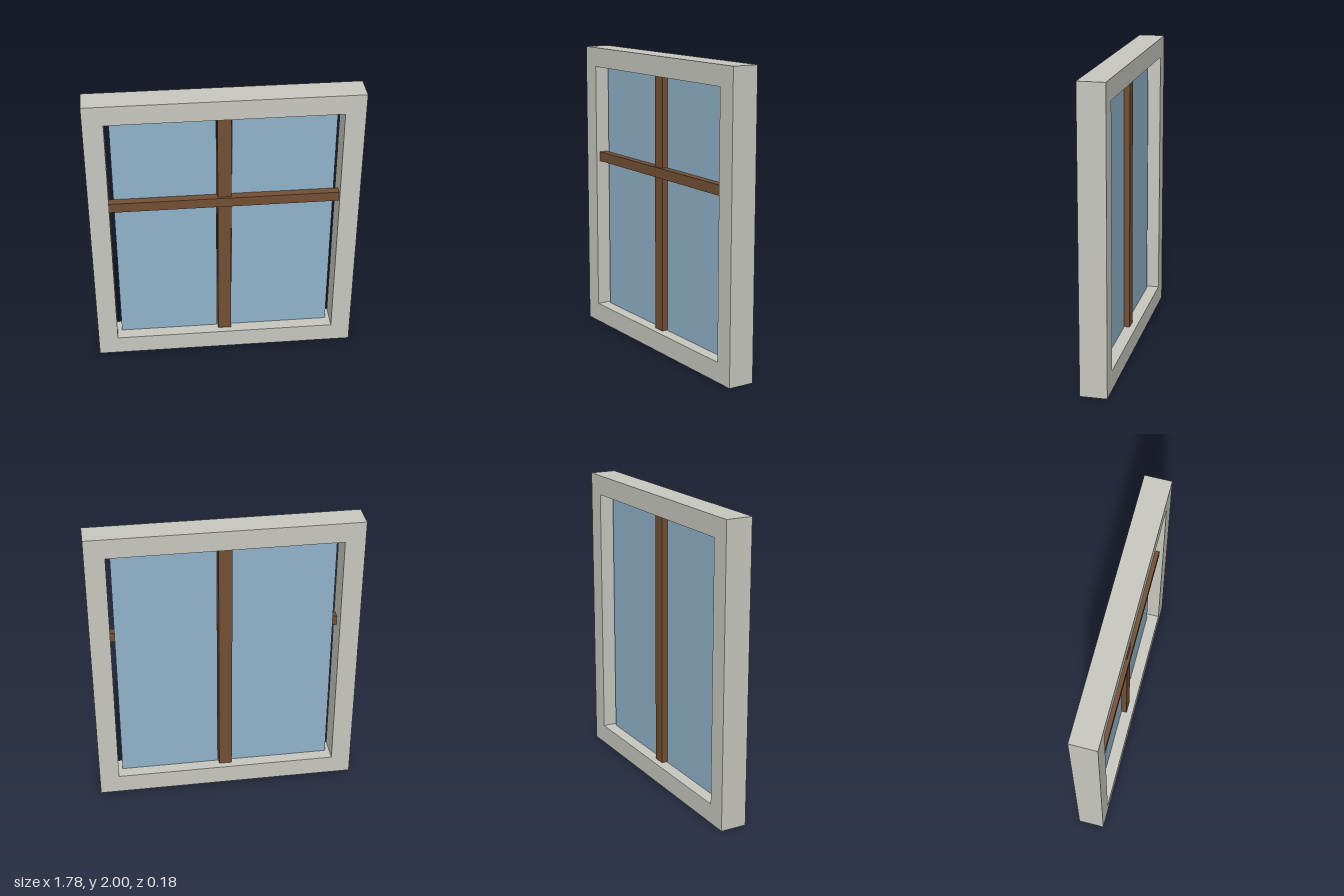
import * as THREE from 'three';

const material = (name, color) => {
  const m = new THREE.MeshStandardMaterial({ color });
  m.name = name;
  return m;
};

export function createModel() {
  const stone = material('pale grey frame', 0xc8c8c0);
  const wood = material('brown wood', 0x734f33);
  const glass = material('blue glass', 0x90b3ca);

  const group = new THREE.Group();
  group.name = 'window';

  const W = 1.778, H = 2, D = 0.178, border = 0.133;
  const innerW = W - 2 * border, innerH = H - 2 * border;

  const add = (name, geometry, mat, x, y, z) => {
    const mesh = new THREE.Mesh(geometry, mat);
    mesh.name = name;
    mesh.position.set(x, y, z);
    group.add(mesh);
  };
  const rectangle = (Type, w, h) => new Type([
    new THREE.Vector2(-w / 2, -h / 2), new THREE.Vector2(w / 2, -h / 2),
    new THREE.Vector2(w / 2, h / 2), new THREE.Vector2(-w / 2, h / 2),
  ]);

  // Outer frame with a rectangular opening
  const outline = rectangle(THREE.Shape, W, H);
  outline.holes.push(rectangle(THREE.Path, innerW, innerH));
  const frame = new THREE.ExtrudeGeometry(outline, { depth: D, bevelEnabled: false });
  add('frame', frame, stone, 0, H / 2, -D / 2);

  // Central post, and a crossbar set in front of the glass
  add('verticalBar', new THREE.BoxGeometry(0.089, innerH, 0.089), wood, 0, H / 2, 0);
  add('horizontalBar', new THREE.BoxGeometry(innerW, 0.067, 0.053), wood, 0, 1.225, 0.0355);

  // One pane on each side of the post
  for (const [name, side] of [['leftPane', 1], ['rightPane', -1]]) {
    add(name, new THREE.BoxGeometry(0.675, innerH, 0.014), glass, side * 0.3875, H / 2, 0);
  }
  return group;
}
